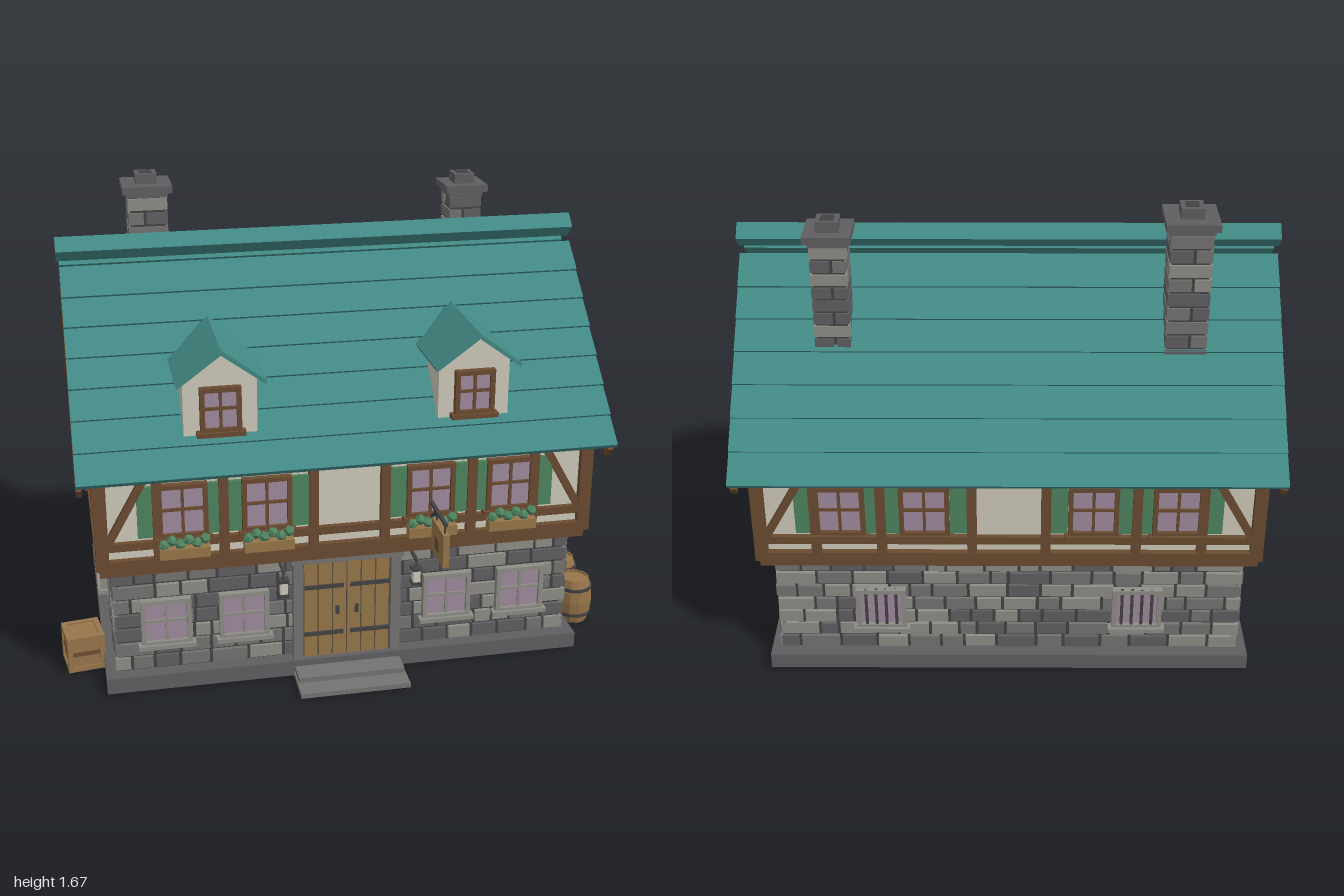
import * as THREE from 'three';
import { mergeGeometries } from 'three/addons/utils/BufferGeometryUtils.js';

const mat = (name, color, side = THREE.FrontSide) => {
  const m = new THREE.MeshStandardMaterial({ color, side });
  m.name = name;
  return m;
};
const M = {
  light: mat('light stone', 0x8e8d86), mid: mat('mid stone', 0x757372), dark: mat('dark stone', 0x605e61),
  iron: mat('mortar and iron', 0x434244), beam: mat('timber', 0x6b4b31), tan: mat('pale wood', 0x96754a),
  plaster: mat('plaster', 0xcfc9ba), roof: mat('teal roof', 0x428985), glass: mat('mauve glass', 0x9f8a9e),
  green: mat('green paint', 0x4f8460),
};
const CZ = -0.058; // depth centre of the house

let seed = 7;
const rnd = () => (seed = (seed * 16807) % 2147483647) / 2147483647;
const tone = () => [M.light, M.mid, M.dark][Math.floor(rnd() * 3)];

function group(parent, name, x = 0, y = 0, z = 0, ry = 0) {
  const g = new THREE.Group();
  g.name = name;
  g.position.set(x, y, z);
  g.rotation.y = ry;
  parent.add(g);
  return g;
}
function add(parent, name, geo, m, x = 0, y = 0, z = 0) {
  const o = new THREE.Mesh(geo, m);
  o.name = name;
  o.position.set(x, y, z);
  parent.add(o);
  return o;
}
const box = (p, name, m, w, h, d, x, y, z) => add(p, name, new THREE.BoxGeometry(w, h, d), m, x, y, z);
// Box between two points in the xy plane
function strut(p, name, m, x1, y1, x2, y2, t, d, z) {
  const o = box(p, name, m, Math.hypot(x2 - x1, y2 - y1), t, d, (x1 + x2) / 2, (y1 + y2) / 2, z);
  o.rotation.z = Math.atan2(y2 - y1, x2 - x1);
  return o;
}
// Polygon in xy, extruded along z and centred
function prism(pts, depth) {
  const g = new THREE.ExtrudeGeometry(new THREE.Shape(pts.map(p => new THREE.Vector2(...p))), { depth, bevelEnabled: false });
  return g.translate(0, 0, -depth / 2);
}
const flat = g => { const n = g.toNonIndexed(); n.computeVertexNormals(); return n; };

// Window with frame, sill and either a cross or upright bars; z is the wall surface
function windowUnit(p, name, m, w, h, x, y, z, bars = 0) {
  const g = group(p, name, x, y, z), t = 0.016;
  box(g, 'pane', M.glass, w - t, h - t, 0.008, 0, 0, 0.006);
  for (const s of [-1, 1]) {
    box(g, 'jamb', m, t, h, 0.025, s * (w - t) / 2, 0, 0.0115);
    box(g, 'rail', m, w, t, 0.025, 0, s * (h - t) / 2, 0.0115);
  }
  box(g, 'sill', m, w + 0.025, 0.016, 0.035, 0, -h / 2 - 0.003, 0.0165);
  if (bars) for (let i = 0; i < bars; i++) box(g, 'bar', M.iron, 0.01, h, 0.01, ((i + 1) / (bars + 1) - 0.5) * w, 0, 0.016);
  else {
    box(g, 'mullion', m, 0.01, h, 0.014, 0, 0, 0.011);
    box(g, 'crossbar', m, w, 0.01, 0.014, 0, 0.005, 0.011);
  }
  return g;
}
function shutteredWindow(p, x, z, flowers) {
  const g = windowUnit(p, 'upperWindow', M.beam, 0.17, 0.195, x, 0.7, z);
  for (const s of [-1, 1]) box(g, 'shutter', M.green, 0.066, 0.185, 0.012, s * 0.119, 0, 0.006);
  if (!flowers) return;
  box(g, 'flowerBox', M.tan, 0.17, 0.036, 0.042, 0, -0.137, 0.043);
  for (let i = 0; i < 6; i++)
    add(g, 'leaves', new THREE.IcosahedronGeometry(0.02, 0), M.green, -0.07 + i * 0.028, -0.108 + (i % 2) * 0.014, 0.045).rotation.y = i;
}
// Irregular stone courses on one wall, merged per tone
function stones(p, half, z) {
  const sets = new Map(), rows = 7, h = 0.39 / rows;
  for (let r = 0; r < rows; r++) {
    for (let u = -half; u < half - 0.001;) {
      let w = 0.06 + rnd() * 0.09;
      if (half - u - w < 0.05) w = half - u;
      const g = new THREE.BoxGeometry(w - 0.011, h - 0.011, 0.022);
      g.translate(u + w / 2, 0.07 + h * (r + 0.5), z - 0.011 - rnd() * 0.005);
      const m = tone();
      sets.set(m, [...(sets.get(m) || []), g]);
      u += w;
    }
  }
  for (const [m, list] of sets) add(p, 'wallStones', mergeGeometries(list), m);
}
function timberFace(p, half, out, posts) {
  for (const x of posts) box(p, 'post', M.beam, 0.033, 0.36, 0.03, x, 0.69, out - 0.015);
  box(p, 'midRail', M.beam, half * 2, 0.028, 0.024, 0, 0.582, out - 0.014);
  box(p, 'topRail', M.beam, half * 2, 0.042, 0.026, 0, 0.879, out - 0.014);
}
function longWall(root, front) {
  const g = group(root, front ? 'frontWall' : 'backWall', 0, 0, CZ, front ? 0 : Math.PI);
  stones(g, 0.82, 0.5);
  timberFace(g, 0.85, 0.562, [-0.655, -0.432, -0.125, 0.125, 0.432, 0.655]);
  for (const s of [-1, 1]) {
    strut(g, 'brace', M.beam, s * 0.82, 0.6, s * 0.68, 0.85, 0.026, 0.022, 0.548);
    for (const x of [0.285, 0.57]) shutteredWindow(g, s * x, 0.54, front);
    if (front) for (const x of [0.365, 0.637]) windowUnit(g, 'lowerWindow', M.light, 0.175, 0.175, s * x, 0.263, 0.5);
    else windowUnit(g, 'barredWindow', M.light, 0.175, 0.165, s * 0.45, 0.26, 0.5, 4);
  }
}
function endWall(root, s) {
  const g = group(root, s > 0 ? 'leftWall' : 'rightWall', 0, 0, CZ, s * Math.PI / 2);
  stones(g, 0.5, 0.82);
  timberFace(g, 0.53, 0.865, [-0.182, 0.182]);
  shutteredWindow(g, 0, 0.845, false);
  windowUnit(g, 'barredWindow', M.light, 0.175, 0.165, 0, 0.26, 0.82, 4);
  // Bargeboards at the roof edge
  add(g, 'bargeboard', prism([[0, 1.338], [-0.61, 0.823], [-0.585, 0.79], [0, 1.285], [0.585, 0.79], [0.61, 0.823]], 0.02), M.beam, 0, 0, 0.908);
}
function door(root) {
  const g = group(root, 'door', 0, 0, CZ + 0.5);
  box(g, 'doorBacking', M.iron, 0.32, 0.385, 0.006, 0, 0.255, 0.003);
  for (let i = 0; i < 6; i++) box(g, 'plank', M.tan, 0.047, 0.375, 0.014, (i - 2.5) * 0.0515, 0.255, 0.01);
  for (const s of [-1, 1]) {
    box(g, 'doorPost', M.mid, 0.035, 0.4, 0.03, s * 0.175, 0.265, 0.012);
    for (const y of [0.16, 0.345]) box(g, 'strap', M.iron, 0.14, 0.015, 0.006, s * 0.082, y, 0.02);
    box(g, 'handle', M.iron, 0.012, 0.03, 0.012, s * 0.035, 0.25, 0.022);
    // Hanging lantern beside the door
    const l = group(g, 'lantern', s * 0.235, 0, 0.075);
    box(l, 'lanternArm', M.iron, 0.01, 0.01, 0.09, 0, 0.447, -0.035);
    box(l, 'lanternHook', M.iron, 0.005, 0.03, 0.005, 0, 0.432, 0);
    box(l, 'lanternGlass', M.plaster, 0.026, 0.048, 0.026, 0, 0.385, 0);
    for (const y of [0.36, 0.414]) box(l, 'lanternCap', M.iron, 0.036, 0.01, 0.036, 0, y, 0);
  }
  box(g, 'lintel', M.mid, 0.4, 0.025, 0.036, 0, 0.456, 0.014);
}
function sign(root) {
  const g = group(root, 'hangingSign', 0.288, 0, 0);
  box(g, 'signArm', M.iron, 0.012, 0.01, 0.2, 0, 0.656, 0.59);
  box(g, 'signBrace', M.iron, 0.01, 0.01, 0.1, 0, 0.625, 0.535).rotation.x = -0.7;
  for (const z of [0.575, 0.675]) box(g, 'chain', M.iron, 0.006, 0.035, 0.006, 0, 0.637, z);
  box(g, 'signBoard', M.tan, 0.022, 0.118, 0.148, 0, 0.563, 0.625);
  for (const s of [-1, 1]) box(g, 'signPlate', M.beam, 0.005, 0.045, 0.045, s * 0.012, 0.558, 0.625);
}
function roof(root) {
  const g = group(root, 'roof', 0.003, 0, CZ), a = 40.2 * Math.PI / 180;
  for (const s of [-1, 1]) for (let i = 0; i < 7; i++)
    box(g, 'roofCourse', M.roof, 1.84, 0.02, 0.125, 0, 0.883 + i * 0.081, s * (0.578 - i * 0.082)).rotation.x = s * a;
  box(g, 'ridge', M.roof, 1.86, 0.061, 0.061, 0, 1.468, 0).rotation.x = Math.PI / 4;
}
function dormer(root, x) {
  const g = group(root, 'dormer', x, 0, 0);
  add(g, 'dormerBody', prism([[-0.123, 0.955], [0.123, 0.955], [0.123, 1.155], [0, 1.24], [-0.123, 1.155]], 0.35), M.plaster, 0, 0, 0.295);
  const top = [[0, 1.265], [-0.15, 1.152], [-0.145, 1.14], [0, 1.247], [0.145, 1.14], [0.15, 1.152]];
  add(g, 'dormerRoof', prism(top, 0.4), M.roof, 0, 0, 0.325);
  windowUnit(g, 'dormerWindow', M.beam, 0.138, 0.158, 0, 1.046, 0.47);
}
function chimney(root, x, w, top) {
  const g = group(root, 'chimney', x, 0, -0.291), y0 = 1.03, n = 11, h = (top - y0) / n;
  box(g, 'chimneyCore', M.iron, w - 0.014, top - y0, w - 0.014, 0, (top + y0) / 2, 0);
  for (let i = 0; i < n; i++) for (const s of [-1, 1]) {
    const cut = w * (0.5 + s * 0.08) - 0.005, off = s * (w - cut) / 2, y = y0 + h * (i + 0.5);
    if (i % 2) box(g, 'chimneyStone', tone(), cut, h - 0.009, w, off, y, 0);
    else box(g, 'chimneyStone', tone(), w, h - 0.009, cut, 0, y, off);
  }
  box(g, 'chimneyNeck', M.dark, w + 0.008, 0.018, w + 0.008, 0, top + 0.008, 0);
  box(g, 'chimneyCap', M.dark, w + 0.037, 0.026, w + 0.037, 0, top + 0.029, 0);
  box(g, 'chimneyPot', M.dark, 0.076, 0.036, 0.076, 0, top + 0.06, 0);
  box(g, 'flueHole', M.iron, 0.045, 0.004, 0.045, 0, top + 0.078, 0);
}
function barrel(root, x, z) {
  const g = group(root, 'barrel', x, 0.006, z);
  const pts = [[0, 0], [0.053, 0], [0.064, 0.045], [0.068, 0.087], [0.064, 0.13], [0.053, 0.174], [0.048, 0.174], [0.048, 0.166], [0, 0.166]];
  add(g, 'staves', flat(new THREE.LatheGeometry(pts.map(p => new THREE.Vector2(...p)), 12)), M.tan);
  for (const y of [0.035, 0.139]) add(g, 'hoop', flat(new THREE.CylinderGeometry(0.066, 0.066, 0.012, 12)), M.iron, 0, y, 0);
}
function crate(root) {
  const g = group(root, 'crate', -0.923, 0.075, 0.237, 0.14);
  box(g, 'crateBody', M.tan, 0.122, 0.122, 0.122, 0, 0, 0);
  for (const a of [-1, 1]) for (const b of [-1, 1]) {
    box(g, 'crateEdge', M.tan, 0.018, 0.134, 0.018, a * 0.058, 0, b * 0.058);
    box(g, 'crateEdge', M.tan, 0.134, 0.018, 0.018, 0, a * 0.058, b * 0.058);
    box(g, 'crateEdge', M.tan, 0.018, 0.018, 0.134, a * 0.058, b * 0.058, 0);
  }
  box(g, 'crateBand', M.beam, 0.127, 0.016, 0.127, 0, 0, 0);
}

export function createModel() {
  const root = new THREE.Group();
  root.name = 'timberInn';
  // Foundation, steps and masonry core
  box(root, 'plinth', M.dark, 1.706, 0.058, 1.074, 0, 0.038, CZ);
  box(root, 'lowerStep', M.mid, 0.39, 0.018, 0.2, 0, 0.016, 0.532);
  box(root, 'upperStep', M.mid, 0.38, 0.035, 0.1, 0, 0.027, 0.51);
  box(root, 'masonryCore', M.iron, 1.61, 0.41, 0.97, 0, 0.265, CZ);
  // Plastered upper storey with gables, and the sill beams around it
  const body = add(root, 'upperStorey', prism([[-0.54, 0.5], [0.54, 0.5], [0.54, 0.86], [0, 1.31], [-0.54, 0.86]], 1.69), M.plaster, 0, 0, CZ);
  body.rotation.y = Math.PI / 2;
  box(root, 'lowerSillBeam', M.beam, 1.71, 0.03, 1.09, 0, 0.482, CZ);
  box(root, 'upperSillBeam', M.beam, 1.734, 0.034, 1.126, 0, 0.516, CZ);
  for (const sx of [-1, 1]) for (const sz of [-1, 1])
    box(root, 'cornerPost', M.beam, 0.044, 0.36, 0.044, sx * 0.844, 0.69, CZ + sz * 0.541);
  longWall(root, true);
  longWall(root, false);
  endWall(root, 1);
  endWall(root, -1);
  door(root);
  sign(root);
  roof(root);
  dormer(root, -0.432);
  dormer(root, 0.432);
  chimney(root, -0.59, 0.14, 1.597);
  chimney(root, 0.59, 0.12, 1.548);
  barrel(root, 0.927, 0.26);
  barrel(root, 0.927, 0.09);
  crate(root);
  return root;
}
